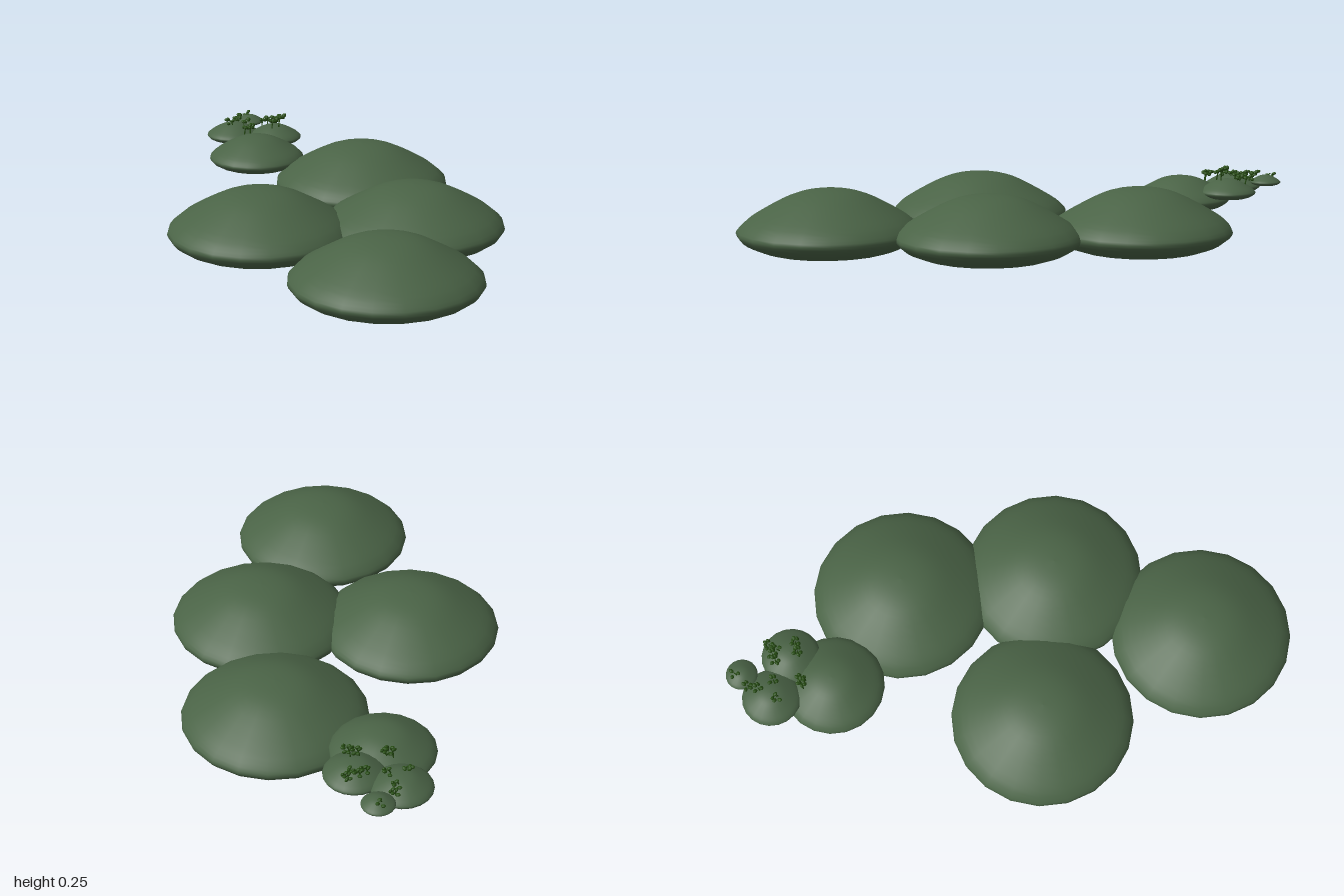
import * as THREE from 'three';

const capMaterial = new THREE.MeshStandardMaterial({ color: 0x4a6346 });
const sprigMaterial = new THREE.MeshStandardMaterial({ color: 0x264d12 });

// Unit-radius mound: dimpled underside, rounded rim, gently bell-shaped top
function moundGeometry() {
  const curve = new THREE.SplineCurve([
    [0, 0.09], [0.2, 0.06], [0.42, 0.015], [0.64, 0.012], [0.83, 0.07], [0.95, 0.14],
    [1, 0.215], [0.96, 0.28], [0.87, 0.36], [0.68, 0.475], [0.47, 0.585],
    [0.3, 0.645], [0.14, 0.672], [0, 0.68],
  ].map(([r, y]) => new THREE.Vector2(r, y)));
  const points = curve.getPoints(28);
  points.forEach((p) => { p.x = Math.max(p.x, 0); });
  return new THREE.LatheGeometry(points, 20);
}

// Small curved stem with a few leaf blobs around its tip
function createSprig(height, leafCount, turn) {
  const sprig = new THREE.Group();
  sprig.name = 'sprig';
  const path = new THREE.QuadraticBezierCurve3(
    new THREE.Vector3(0, -0.012, 0),
    new THREE.Vector3(0, height * 0.6, 0),
    new THREE.Vector3(0.012, height, 0));
  const stem = new THREE.Mesh(new THREE.TubeGeometry(path, 5, 0.0025, 5), sprigMaterial);
  stem.name = 'stem';
  sprig.add(stem);
  const leafGeometry = new THREE.IcosahedronGeometry(0.0075, 1);
  for (let i = 0; i < leafCount; i++) {
    const leaf = new THREE.Mesh(leafGeometry, sprigMaterial);
    const a = i * 2.4;
    leaf.position.set(0.012 + Math.cos(a) * 0.013, height - (i % 3) * 0.006, Math.sin(a) * 0.013);
    leaf.scale.set(1.2, 0.7, 0.9);
    leaf.rotation.set(0.3 * i, a, 0.3);
    leaf.name = 'leaf';
    sprig.add(leaf);
  }
  sprig.rotation.y = turn;
  return sprig;
}

export function createModel() {
  const model = new THREE.Group();
  model.name = 'moundTrail';

  // Mounds: x, base height, z, radius
  const geometry = moundGeometry();
  const mounds = [
    ['largeMound', -0.14, 0, 0.67, 0.322],
    ['largeMound', 0.21, 0, 0.22, 0.322],
    ['largeMound', -0.296, 0, 0.035, 0.322],
    ['largeMound', 0.29, 0, -0.322, 0.322],
    ['mediumMound', 0.003, 0.08, -0.645, 0.18],
    ['smallMound', 0.005, 0.13, -0.865, 0.104],
    ['smallMound', 0.135, 0.13, -0.765, 0.104],
    ['tinyMound', 0.108, 0.162, -0.946, 0.056],
  ];
  for (const [name, x, y, z, r] of mounds) {
    const mound = new THREE.Mesh(geometry, capMaterial);
    mound.name = name;
    mound.position.set(x, y, z);
    mound.scale.setScalar(r);
    model.add(mound);
  }

  // Sprigs on the small mounds: x, base height, z, height, leaves, turn
  const sprigs = [
    [0.11, 0.192, -0.735, 0.038, 6, 0.2],
    [0.14, 0.198, -0.735, 0.044, 6, 0.1],
    [0.105, 0.194, -0.815, 0.022, 5, 0.5],
    [0.13, 0.185, -0.82, 0.028, 5, 0.4],
    [0.17, 0.182, -0.82, 0.03, 6, 0.8],
    [0.15, 0.185, -0.795, 0.026, 4, 1.2],
    [0.0, 0.185, -0.75, 0.03, 6, 0.0],
    [0.02, 0.185, -0.74, 0.028, 5, 1.0],
    [0.025, 0.192, -0.895, 0.014, 4, 0.6],
    [0.045, 0.188, -0.925, 0.018, 5, 0.9],
    [-0.01, 0.198, -0.84, 0.018, 4, 2.5],
    [0.035, 0.19, -0.84, 0.022, 4, 0.3],
    [0.1, 0.196, -0.96, 0.008, 3, 0.7],
  ];
  for (const [x, y, z, height, leaves, turn] of sprigs) {
    const sprig = createSprig(height, leaves, turn);
    sprig.position.set(x, y, z);
    model.add(sprig);
  }
  return model;
}
